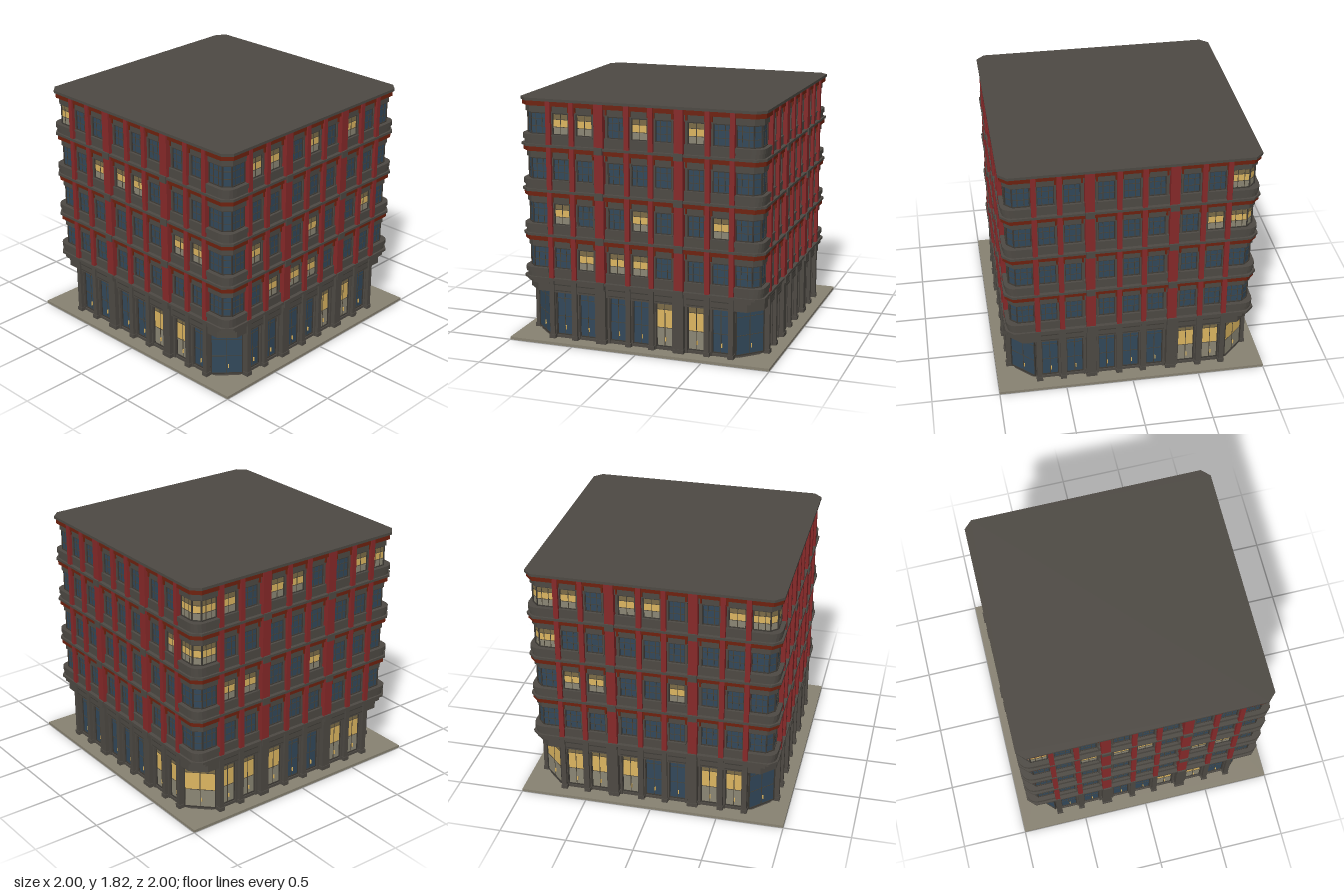
import * as THREE from 'three';

const paint = (name, color) => {
  const m = new THREE.MeshStandardMaterial({ color });
  m.name = name;
  return m;
};
const stone = paint('dark stone', 0x4d4943);
const shade = paint('deep stone', 0x3c3934);
const crimson = paint('crimson brick', 0x862929);
const rust = paint('rust brick', 0x6e210e);
const glass = paint('blue glass', 0x32485a);
const glow = paint('lit interior', 0xdcb560);
const pale = paint('pale interior', 0x8b8674);
const olive = paint('olive blind', 0x7b6b47);
const frame = paint('window frame', 0x484235);
const paving = paint('paving', 0x878171);

const FLOOR = 0.333, FIRST = 0.48;
const bays = [-0.605, -0.42, -0.18, 0, 0.18, 0.42, 0.605];
const narrowPiers = [-0.69, -0.51, -0.09, 0.09, 0.51, 0.69];
const widePiers = [-0.3, 0.3];

// Lit windows per storey (ground first) for front, right, back and left
const litBays = [
  [[4, 5], [2, 3, 1], [0, 3, 6], [], [0, 1, 3, 5]],
  [[5, 6], [], [], [6], []],
  [[0, 1, 2, 5, 6], [], [0, 1, 4], [], [0, 2, 3, 6]],
  [[4, 5], [], [5, 6], [1, 2, 3], []],
];
// Lit corner storeys, each corner lying at the right end of its side
const litCorners = [[], [0, 3, 4], [4], []];

// Box spanning depth d0..d1 outward from the building centre
function slab(parent, name, mat, u, w, y0, y1, d0, d1) {
  const m = new THREE.Mesh(new THREE.BoxGeometry(w, y1 - y0, d1 - d0), mat);
  m.position.set(u, (y0 + y1) / 2, (d0 + d1) / 2);
  m.name = name;
  parent.add(m);
}

function octagon(half, cut, Kind = THREE.Shape) {
  const a = half, b = half - cut;
  return new Kind([[b, -a], [a, -b], [a, b], [b, a], [-b, a], [-a, b], [-a, -b], [-b, -a]]
    .map(([x, y]) => new THREE.Vector2(x, y)));
}

// Upright extrusion of a plan shape
function prism(parent, name, mat, shape, y0, y1) {
  const geo = new THREE.ExtrudeGeometry(shape, { depth: y1 - y0, bevelEnabled: false, curveSegments: 5 });
  geo.rotateX(-Math.PI / 2);
  const m = new THREE.Mesh(geo, mat);
  m.position.y = y0;
  m.name = name;
  parent.add(m);
}

// Plan of a corner band, chamfered or rounded
function cornerPlan(half, cut, round) {
  const s = new THREE.Shape();
  s.moveTo(0.71, -0.71);
  s.lineTo(half, -0.71);
  s.lineTo(half, -(half - cut));
  if (round) s.quadraticCurveTo(half, -half, half - cut, -half);
  else s.lineTo(half - cut, -half);
  s.lineTo(0.71, -half);
  return s;
}

// Glazing with thin bars; lit windows show pale, bright and olive bands
function glazing(parent, u, w, y0, y1, d, lit, low, high, bars) {
  const h = y1 - y0, t = 0.005;
  if (lit) {
    const a = y0 + h * low, b = y0 + h * high;
    slab(parent, 'litWindowLower', pale, u, w, y0, a, d, d + t);
    slab(parent, 'litWindowMiddle', glow, u, w, a, b, d, d + t);
    slab(parent, 'litWindowUpper', olive, u, w, b, y1, d, d + t);
  } else slab(parent, 'windowGlass', glass, u, w, y0, y1, d, d + t);
  const e = d + t + 0.002;
  for (const f of bars) slab(parent, 'windowMullion', frame, u + f * w, 0.005, y0, y1, d, e);
  for (const f of [low, high]) {
    const y = y0 + h * f;
    slab(parent, 'windowTransom', frame, u, w, y - 0.002, y + 0.002, d, e);
  }
  for (const s of [-1, 1]) slab(parent, 'windowJamb', shade, u + s * w / 2, 0.008, y0, y1, d, d + 0.012);
  for (const y of [y0, y1]) slab(parent, 'windowRail', shade, u, w, y - 0.004, y + 0.004, d, d + 0.012);
}

function groundStorey(side, lit) {
  bays.forEach((u, i) => {
    glazing(side, u, 0.12, 0.045, 0.372, 0.865, lit.includes(i), 0.43, 0.85, [0]);
    slab(side, 'doorHandle', glow, u + 0.008, 0.006, 0.085, 0.115, 0.865, 0.88);
    for (const s of [-1, 1]) slab(side, 'doorSurround', stone, u + s * 0.07, 0.016, 0.02, 0.38, 0.86, 0.893);
    slab(side, 'signPanel', shade, u, 0.13, 0.432, 0.438, 0.86, 0.908);
    slab(side, 'signPanel', shade, u, 0.13, 0.388, 0.393, 0.86, 0.908);
  });
  slab(side, 'groundHeader', stone, 0, 1.42, 0.375, 0.467, 0.85, 0.904);
  slab(side, 'groundPlinth', stone, 0, 1.42, 0.02, 0.04, 0.85, 0.885);
  for (const u of narrowPiers) {
    slab(side, 'groundPier', stone, u, 0.036, 0.02, 0.467, 0.85, 0.918);
    slab(side, 'pierFoot', stone, u, 0.046, 0.02, 0.05, 0.85, 0.923);
  }
  for (const u of widePiers) {
    slab(side, 'groundWidePier', stone, u, 0.07, 0.02, 0.467, 0.85, 0.923);
    slab(side, 'pierFoot', stone, u, 0.08, 0.02, 0.05, 0.85, 0.928);
  }
}

function upperStorey(side, F, lit, litLeft, litRight) {
  slab(side, 'sillWall', stone, 0, 1.42, F, F + 0.074, 0.85, 0.897);
  slab(side, 'windowHeader', stone, 0, 1.42, F + 0.235, F + 0.285, 0.85, 0.895);
  slab(side, 'brickHeader', rust, 0, 1.42, F + 0.285, F + 0.32, 0.85, 0.91);
  bays.forEach((u, i) => {
    glazing(side, u, 0.118, F + 0.078, F + 0.23, 0.875, lit.includes(i), 0.36, 0.72, lit.includes(i) ? [0] : [-0.2, 0.2]);
    for (const s of [-1, 1]) {
      slab(side, 'windowSurround', stone, u + s * 0.067, 0.013, F, F + 0.285, 0.85, 0.895);
      slab(side, 'brickBracket', rust, u + s * 0.069, 0.013, F + 0.245, F + 0.29, 0.85, 0.905);
    }
    slab(side, 'windowSill', stone, u, 0.135, F + 0.066, F + 0.076, 0.85, 0.905);
  });
  for (const u of narrowPiers) slab(side, 'brickPier', crimson, u, 0.036, F, F + 0.322, 0.85, 0.92);
  for (const u of widePiers) {
    slab(side, 'wideBrickPier', crimson, u, 0.068, F, F + 0.322, 0.85, 0.924);
    slab(side, 'pierCapital', stone, u, 0.064, F - 0.04, F + 0.012, 0.85, 0.935);
  }
  glazing(side, -0.775, 0.12, F + 0.078, F + 0.23, 0.875, litLeft, 0.36, 0.72, [-0.2, 0.2]);
  glazing(side, 0.775, 0.12, F + 0.078, F + 0.23, 0.875, litRight, 0.36, 0.72, [-0.2, 0.2]);
}

function cornerTower(side, lit) {
  // Diagonal entrance
  const diagonal = new THREE.Group();
  diagonal.name = 'cornerDiagonal';
  diagonal.rotation.y = Math.PI / 4;
  side.add(diagonal);
  glazing(diagonal, 0, 0.225, 0.04, 0.372, 1.124, lit.includes(0), 0.43, 0.85, [0]);
  slab(diagonal, 'doorHandle', glow, 0.012, 0.006, 0.085, 0.115, 1.124, 1.138);
  prism(side, 'cornerHeader', stone, cornerPlan(0.904, 0.1, false), 0.378, 0.44);
  prism(side, 'cornerCornice', stone, cornerPlan(0.916, 0.08, false), 0.44, 0.467);
  // Bay window bands
  for (let i = 1; i <= 4; i++) {
    const F = FIRST + (i - 1) * FLOOR;
    prism(side, 'cornerSill', stone, cornerPlan(0.91, 0.09, true), F, F + 0.04);
    prism(side, 'cornerSillTop', stone, cornerPlan(0.918, 0.09, true), F + 0.04, F + 0.075);
    prism(side, 'cornerWindowHeader', stone, cornerPlan(0.897, 0.055, false), F + 0.235, F + 0.285);
    prism(side, 'cornerBrickHeader', rust, cornerPlan(0.916, 0.06, false), F + 0.285, F + 0.32);
    glazing(diagonal, 0, 0.062, F + 0.078, F + 0.23, 1.2056, lit.includes(i), 0.36, 0.72, []);
  }
}

export function createModel() {
  const model = new THREE.Group();
  model.name = 'cornerBuilding';

  // Pavement around a ribbed floor
  const pad = new THREE.Shape([[-1, -1], [1, -1], [1, 1], [-1, 1]].map(([x, y]) => new THREE.Vector2(x, y)));
  pad.holes.push(octagon(0.86, 0.12, THREE.Path));
  prism(model, 'pavement', paving, pad, 0, 0.02);
  prism(model, 'floorPlate', stone, octagon(0.86, 0.12), 0.01, 0.02);
  for (const u of [...narrowPiers, ...widePiers]) {
    slab(model, 'floorRib', stone, u, 0.04, 0.002, 0.012, -0.8, 0.8);
    const across = new THREE.Group();
    across.name = 'crossRib';
    across.rotation.y = Math.PI / 2;
    slab(across, 'floorRib', stone, u, 0.04, 0.002, 0.012, -0.8, 0.8);
    model.add(across);
  }

  // Core walls, ledges and roof
  prism(model, 'groundCore', stone, octagon(0.865, 0.14), 0.02, 0.47);
  prism(model, 'upperCore', stone, octagon(0.875, 0.045), 0.467, 1.805);
  for (let i = 0; i < 4; i++) {
    const F = FIRST + i * FLOOR;
    prism(model, 'storeyLedge', stone, octagon(0.925, 0.06), F - 0.013, F + 0.005);
  }
  prism(model, 'roof', stone, octagon(0.925, 0.06), 1.8, 1.82);

  // Four facades, each with the corner at its right end
  ['front', 'right', 'back', 'left'].forEach((name, k) => {
    const side = new THREE.Group();
    side.name = name + 'Facade';
    side.rotation.y = k * Math.PI / 2;
    groundStorey(side, litBays[k][0]);
    for (let i = 1; i <= 4; i++) {
      upperStorey(side, FIRST + (i - 1) * FLOOR, litBays[k][i],
        litCorners[(k + 3) % 4].includes(i), litCorners[k].includes(i));
    }
    cornerTower(side, litCorners[k]);
    model.add(side);
  });
  return model;
}
